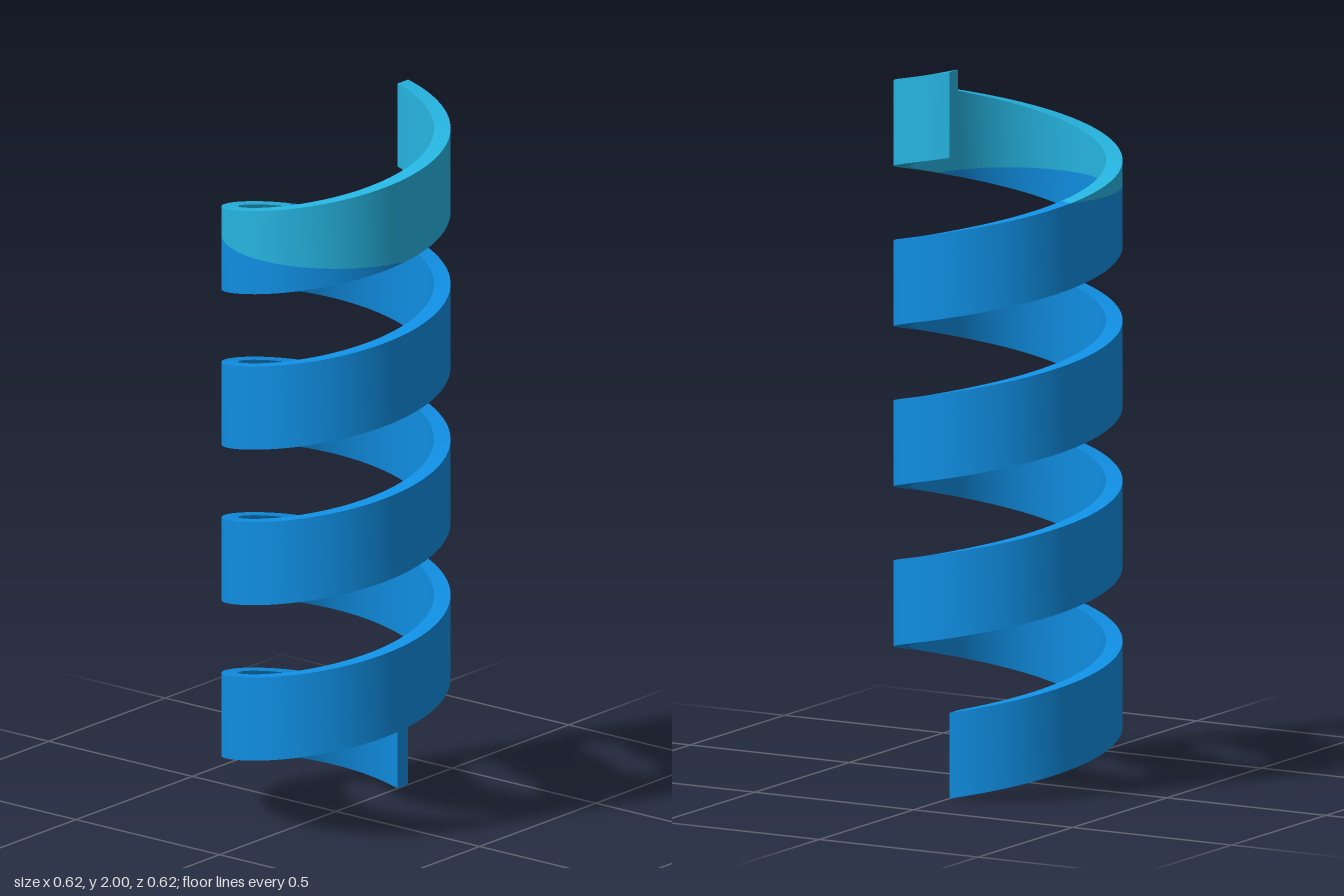
import * as THREE from 'three';

const OUTER = 0.31, INNER = 0.265, HEIGHT = 0.236, TURNS = 4;
const PITCH = (2 - HEIGHT) / TURNS;
const SPLIT = 1.637; // height where the colour changes
const END = TURNS * Math.PI * 2;

const low = (a) => (a / END) * PITCH * TURNS;
const high = (a) => low(a) + HEIGHT;
const point = (a, r, y) => [-Math.sin(a) * r, y, -Math.cos(a) * r];
const angleAt = (y) => (y / (PITCH * TURNS)) * END;

// Angles where the top edge and then the bottom edge cross the colour split
const TOP_CROSS = angleAt(SPLIT - HEIGHT), BOTTOM_CROSS = angleAt(SPLIT);

function angles(from, to) {
  const n = Math.max(2, Math.ceil(((to - from) / (Math.PI * 2)) * 96));
  return Array.from({ length: n + 1 }, (_, i) => from + ((to - from) * i) / n);
}

// Smooth strip between two edge curves, each a function of the angle
function ribbon(from, to, u, v) {
  const pos = [], index = [];
  angles(from, to).forEach((a, i) => {
    pos.push(...u(a), ...v(a));
    if (i > 0) {
      const k = 2 * (i - 1);
      index.push(k, k + 2, k + 1, k + 1, k + 2, k + 3);
    }
  });
  const g = new THREE.BufferGeometry();
  g.setAttribute('position', new THREE.Float32BufferAttribute(pos, 3));
  g.setIndex(index);
  g.computeVertexNormals();
  return g;
}

// Flat rectangular end of the coil
function endCap(a, flip) {
  const pos = [[OUTER, low(a)], [OUTER, high(a)], [INNER, high(a)], [INNER, low(a)]]
    .flatMap(([r, y]) => point(a, r, y));
  const g = new THREE.BufferGeometry();
  g.setAttribute('position', new THREE.Float32BufferAttribute(pos, 3));
  g.setIndex(flip ? [0, 2, 1, 0, 3, 2] : [0, 1, 2, 0, 2, 3]);
  g.computeVertexNormals();
  return g;
}

export function createModel() {
  const blue = new THREE.MeshStandardMaterial({ name: 'blue', color: 0x108ee2 });
  const teal = new THREE.MeshStandardMaterial({ name: 'teal', color: 0x26b4e0 });
  const model = new THREE.Group();
  model.name = 'spiralCoil';

  function section(name, material, wall, top, bottom, lo, hi, cap) {
    const group = new THREE.Group();
    group.name = name;
    const add = (part, geometry) => {
      const mesh = new THREE.Mesh(geometry, material);
      mesh.name = part;
      group.add(mesh);
    };
    const edge = (r, y) => (a) => point(a, r, y(a));
    // Walls are built in stretches so the colour line stays level
    wall.slice(1).forEach((to, i) => {
      add('outerWall', ribbon(wall[i], to, edge(OUTER, lo), edge(OUTER, hi)));
      add('innerWall', ribbon(wall[i], to, edge(INNER, hi), edge(INNER, lo)));
    });
    add('topEdge', ribbon(...top, edge(OUTER, high), edge(INNER, high)));
    add('bottomEdge', ribbon(...bottom, edge(INNER, low), edge(OUTER, low)));
    add('endCap', cap);
    model.add(group);
  }

  // Lower coil, cut off level at the split
  section('lowerCoil', blue, [0, TOP_CROSS, BOTTOM_CROSS], [0, TOP_CROSS], [0, BOTTOM_CROSS],
    low, (a) => Math.max(low(a), Math.min(high(a), SPLIT)), endCap(0, false));
  // Upper coil, starting from the split
  section('upperCoil', teal, [TOP_CROSS, BOTTOM_CROSS, END], [TOP_CROSS, END], [BOTTOM_CROSS, END],
    (a) => Math.min(high(a), Math.max(low(a), SPLIT)), high, endCap(END, true));

  return model;
}
